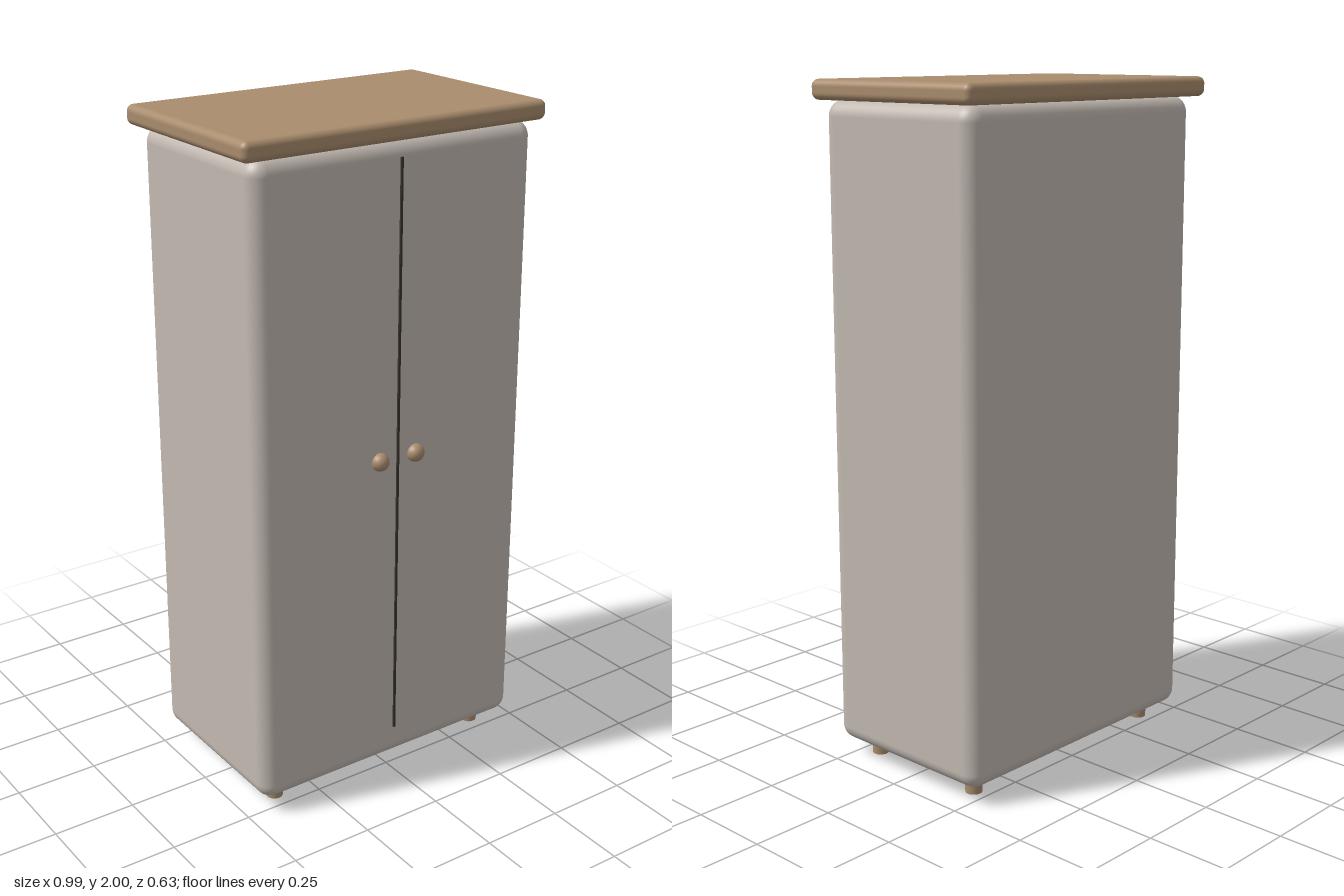
import * as THREE from 'three';
import { RoundedBoxGeometry } from 'three/addons/geometries/RoundedBoxGeometry.js';

export function createModel() {
  const paint = new THREE.MeshStandardMaterial({ name: 'greige paint', color: 0xc2b9b1 });
  const wood = new THREE.MeshStandardMaterial({ name: 'wood', color: 0xa98c6d });
  const dark = new THREE.MeshStandardMaterial({ name: 'dark gap', color: 0x38342f });

  const model = new THREE.Group();
  model.name = 'wardrobe';
  const add = (name, geometry, material, x, y, z) => {
    const mesh = new THREE.Mesh(geometry, material);
    mesh.name = name;
    mesh.position.set(x, y, z);
    model.add(mesh);
    return mesh;
  };

  // Cabinet with soft edges, and the overhanging wooden top
  add('cabinet', new RoundedBoxGeometry(0.928, 1.897, 0.579, 6, 0.047), paint, 0, 0.9965, -0.0035);
  add('top', new RoundedBoxGeometry(0.994, 0.057, 0.618, 5, 0.02), wood, 0, 1.9715, -0.01);

  // Narrow gap between the two doors
  add('doorGap', new THREE.BoxGeometry(0.007, 1.75, 0.008), dark, 0, 1.025, 0.287);

  // Mirrored knobs and short round feet
  const knob = new THREE.SphereGeometry(0.027, 24, 16);
  const foot = new THREE.CylinderGeometry(0.027, 0.025, 0.06, 20);
  for (const [side, s] of [['left', 1], ['right', -1]]) {
    add(side + 'Knob', knob, wood, s * 0.062, 1.04, 0.288);
    add(side + 'FrontFoot', foot, wood, s * 0.373, 0.03, 0.193);
    add(side + 'BackFoot', foot, wood, s * 0.373, 0.03, -0.201);
  }
  return model;
}
